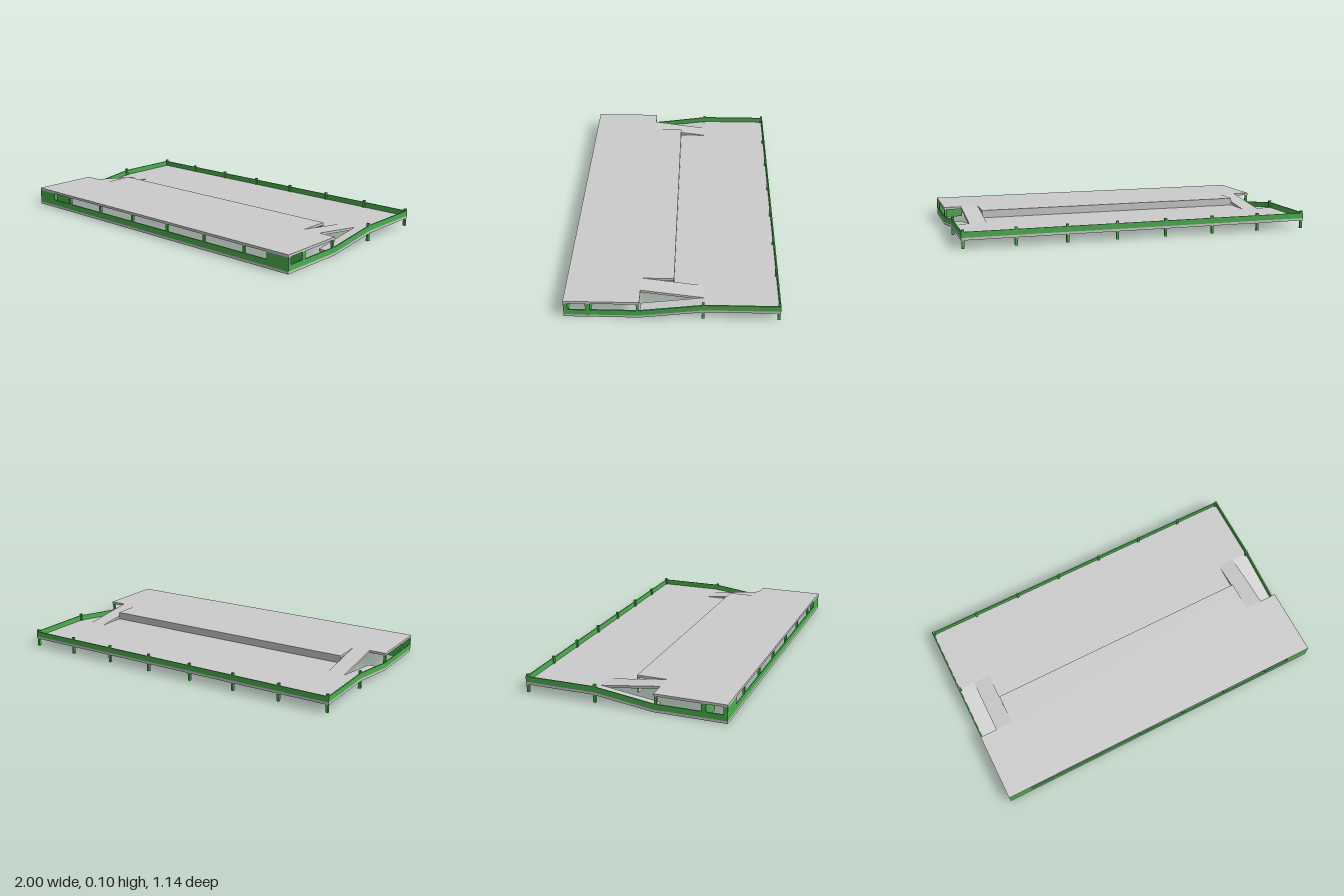
import * as THREE from 'three';

export function createModel() {
  const model = new THREE.Group();
  const grey = new THREE.MeshStandardMaterial({ color: 0xcccccc, flatShading: true });
  const green = new THREE.MeshStandardMaterial({ color: 0x4caf50, flatShading: true });

  const T = 0.007;              // thin wall thickness
  const Z = 0.57;               // half depth
  const RAMP = 0.17;            // ramps run from +RAMP to -RAMP
  const SLAB = 0.014;           // deck thickness
  const LOW = 0.045;            // underside of the rear deck
  const HIGH = 0.089;           // underside of the front deck

  function add(name, geometry, material) {
    const mesh = new THREE.Mesh(geometry, material);
    mesh.name = name;
    model.add(mesh);
  }

  // Box given by its limits
  function box(name, material, x0, x1, y0, y1, z0, z1) {
    const g = new THREE.BoxGeometry(x1 - x0, y1 - y0, z1 - z0);
    g.translate((x0 + x1) / 2, (y0 + y1) / 2, (z0 + z1) / 2);
    add(name, g, material);
  }

  // Band that follows a [z, y] path, with a given height, from x0 to x1
  function band(name, material, path, height, x0, x1) {
    const upper = path.map(([z, y]) => [z, y + height]).reverse();
    const shape = new THREE.Shape([...path, ...upper].map(([z, y]) => new THREE.Vector2(z, y)));
    const g = new THREE.ExtrudeGeometry(shape, { depth: x1 - x0, bevelEnabled: false });
    g.rotateY(-Math.PI / 2);
    g.translate(x1, 0, 0);
    add(name, g, material);
  }

  // Decks on two levels, joined by a riser
  box('frontDeck', grey, -1, 1, HIGH, HIGH + SLAB, RAMP, Z);
  box('frontDeckTongue', grey, -0.8, 0.8, HIGH, HIGH + SLAB, 0, RAMP);
  box('rearDeck', grey, -1, 1, LOW, LOW + SLAB, -Z, -RAMP);
  box('rearDeckTongue', grey, -0.8, 0.8, LOW, LOW + SLAB, -RAMP, 0);
  box('riser', grey, -0.8, 0.8, 0, HIGH + SLAB, -0.006, 0);

  // Low walls along the front and back
  box('frontSill', grey, -1, 1, 0, SLAB, Z - T, Z);
  box('frontRail', green, -1, 1, SLAB, 0.048, Z - T, Z);
  box('backRail', green, -1, 1, LOW + SLAB, 0.09, -Z, -Z + T);

  // Posts along the front openings and the back edge
  for (let i = 0; i < 8; i++) {
    const x = -0.99 + i * 1.98 / 7;
    box('backPost', green, x - 0.007, x + 0.007, 0, 0.102, -Z + 0.001, -Z + 0.015);
    if (i > 0 && i < 7) box('frontPost', green, x - 0.007, x + 0.007, SLAB, HIGH, Z - 0.014, Z - 0.001);
  }

  for (const side of [-1, 1]) {
    const span = (a, b) => (side > 0 ? [a, b] : [-b, -a]);

    // Upper ramp between decks, and lower ramp beside it
    band('upperRamp', grey, [[-RAMP, LOW], [RAMP, HIGH]], SLAB, ...span(0.8, 0.9));
    band('lowerRamp', grey, [[-RAMP, LOW], [RAMP, 0]], SLAB, ...span(0.9, 1));

    // Side wall following the slope, with its grey sill
    const slope = [[-Z, LOW + SLAB], [-RAMP, LOW + SLAB], [RAMP, SLAB], [Z, SLAB]];
    band('sideRail', green, slope, 0.032, ...span(1 - T, 1));
    band('sideSill', grey, [[RAMP, 0], [Z, 0]], SLAB, ...span(1 - T, 1));

    // Corner panels and side posts
    box('cornerPanel', green, ...span(0.86, 1), SLAB, HIGH, Z - 0.022, Z);
    box('innerPanel', green, ...span(0.86, 1), 0, HIGH, 0.43, 0.455);
    box('frontSidePost', green, ...span(0.986, 0.999), SLAB, HIGH, 0.174, 0.188);
    box('rearSidePost', green, ...span(0.984, 0.999), 0, 0.102, -0.171, -0.157);
  }
  return model;
}
